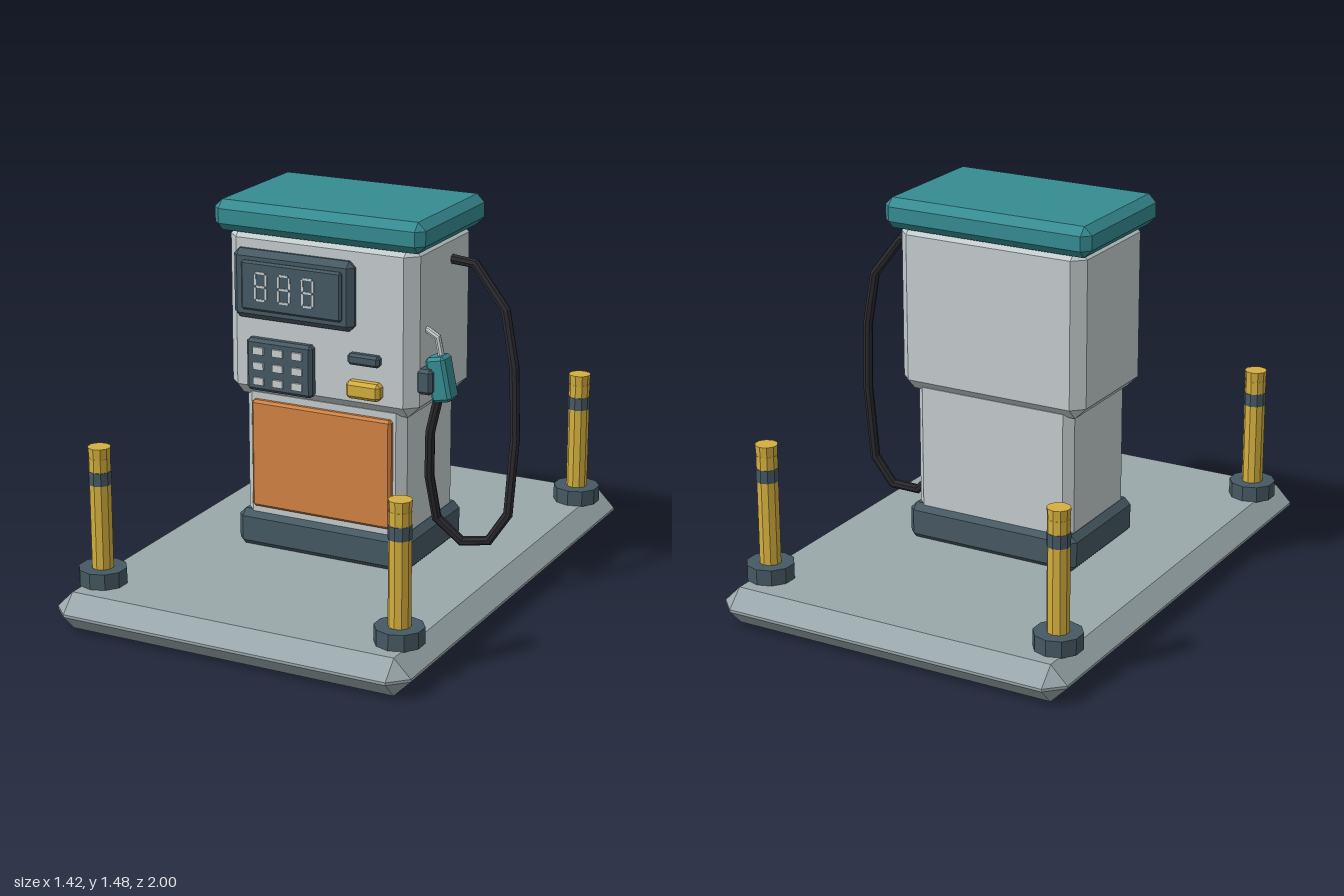
import * as THREE from 'three';
import { ConvexGeometry } from 'three/addons/geometries/ConvexGeometry.js';

const mat = (name, color) => {
  const m = new THREE.MeshStandardMaterial({ color });
  m.name = name;
  return m;
};

// Box with every edge cut at 45 degrees, given by its limits
function chamferBox(x0, x1, y0, y1, z0, z1, c) {
  const h = [(x1 - x0) / 2, (y1 - y0) / 2, (z1 - z0) / 2];
  const pts = [];
  for (const sx of [-1, 1]) for (const sy of [-1, 1]) for (const sz of [-1, 1]) {
    for (let k = 0; k < 3; k++) {
      const [x, y, z] = h.map((v, i) => (i === k ? v : v - c));
      pts.push(new THREE.Vector3(sx * x, sy * y, sz * z));
    }
  }
  const g = new ConvexGeometry(pts);
  g.translate((x0 + x1) / 2, (y0 + y1) / 2, (z0 + z1) / 2);
  return g;
}

function faceted(geometry) {
  const g = geometry.toNonIndexed();
  g.computeVertexNormals();
  return g;
}

// Tube with one ring at each path point
function pipe(points, radius, sides) {
  const curve = new THREE.CatmullRomCurve3(points.map(p => new THREE.Vector3(...p)));
  curve.getPointAt = (t, v) => curve.getPoint(t, v);
  curve.getTangentAt = (t, v) => curve.getTangent(t, v);
  return faceted(new THREE.TubeGeometry(curve, points.length - 1, radius, sides, false));
}

export function createModel() {
  const concrete = mat('concrete', 0x9aa8ab);
  const shell = mat('pale shell', 0xc5cdcf);
  const teal = mat('teal', 0x368c92);
  const slate = mat('slate', 0x465963);
  const orange = mat('orange', 0xd28243);
  const yellow = mat('yellow', 0xd4af3f);
  const rubber = mat('rubber', 0x2b2b30);
  const light = mat('light grey', 0xc9cfcf);

  const root = new THREE.Group();
  root.name = 'fuelPump';
  const add = (name, geometry, material, parent = root) => {
    const m = new THREE.Mesh(geometry, material);
    m.name = name;
    parent.add(m);
    return m;
  };
  const box = (name, material, ...limits) => add(name, chamferBox(...limits), material);

  // Island and cabinet
  box('island', concrete, -0.71, 0.71, 0, 0.14, -1, 1, 0.065);
  box('plinth', slate, -0.357, 0.357, 0.135, 0.28, -0.24, 0.24, 0.025);
  box('lowerCabinet', shell, -0.33, 0.33, 0.24, 0.78, -0.22, 0.22, 0.032);
  box('upperCabinet', shell, -0.385, 0.385, 0.735, 1.385, -0.25, 0.25, 0.045);
  box('roof', teal, -0.425, 0.425, 1.36, 1.475, -0.28, 0.28, 0.03);
  box('frontPanel', orange, -0.29, 0.287, 0.303, 0.722, 0.2, 0.243, 0.01);

  // Display, keypad, card slot and receipt tray
  box('displayFrame', slate, -0.34, 0.152, 1.045, 1.305, 0.23, 0.285, 0.022);
  box('displayScreen', slate, -0.297, 0.113, 1.083, 1.268, 0.25, 0.296, 0.008);
  box('keypad', slate, -0.287, -0.015, 0.773, 0.972, 0.23, 0.282, 0.012);
  box('cardSlot', slate, 0.127, 0.255, 0.925, 0.968, 0.23, 0.278, 0.01);
  box('receiptTray', yellow, 0.123, 0.261, 0.8, 0.866, 0.23, 0.288, 0.013);
  for (let i = 0; i < 3; i++) for (let j = 0; j < 3; j++) {
    const key = add('key', new THREE.BoxGeometry(0.042, 0.028, 0.012), light);
    key.position.set(-0.231 + i * 0.08, 0.93 - j * 0.058, 0.286);
  }

  // Seven-segment figures
  const across = new THREE.BoxGeometry(0.036, 0.008, 0.006);
  const upright = new THREE.BoxGeometry(0.008, 0.042, 0.006);
  for (const x of [-0.213, -0.117, -0.02]) {
    const digit = new THREE.Group();
    digit.name = 'displayDigit';
    digit.position.set(x, 1.177, 0.296);
    root.add(digit);
    for (const y of [-0.051, 0, 0.051]) add('segment', across, light, digit).position.y = y;
    for (const sx of [-1, 1]) for (const sy of [-1, 1]) {
      add('segment', upright, light, digit).position.set(sx * 0.022, sy * 0.026, 0);
    }
  }

  // Hose hanging from the side of the cabinet to the nozzle
  add('hose', pipe([
    [0.35, 1.272, -0.065], [0.475, 1.262, -0.065], [0.6, 1.105, -0.06],
    [0.643, 0.895, -0.05], [0.657, 0.63, -0.037], [0.643, 0.34, -0.018],
    [0.575, 0.232, 0.0], [0.475, 0.22, 0.022], [0.388, 0.31, 0.055],
    [0.38, 0.49, 0.105], [0.397, 0.67, 0.137], [0.44, 0.84, 0.147],
  ], 0.019, 8), rubber);

  // Nozzle with its holder and spout
  const nozzle = new THREE.Group();
  nozzle.name = 'nozzle';
  nozzle.position.set(0.446, 0.885, 0.15);
  nozzle.rotation.z = 0.2;
  root.add(nozzle);
  const grip = chamferBox(-0.039, 0.039, -0.084, 0.084, -0.04, 0.04, 0.012);
  add('nozzleGrip', grip, teal, nozzle);
  box('nozzleHolder', slate, 0.37, 0.434, 0.83, 0.925, 0.13, 0.213, 0.012);
  add('spout', pipe([
    [0.37, 1.062, 0.147], [0.392, 1.055, 0.147], [0.428, 1.035, 0.147], [0.448, 0.94, 0.147],
  ], 0.013, 8), light);

  // Corner bollards
  const drum = (rTop, rBottom, y0, y1) => {
    const g = faceted(new THREE.CylinderGeometry(rTop, rBottom, y1 - y0, 10));
    g.translate(0, (y0 + y1) / 2, 0);
    return g;
  };
  const parts = [
    ['bollardFoot', drum(0.09, 0.09, 0.138, 0.2), slate],
    ['bollardPost', drum(0.041, 0.041, 0.19, 0.62), yellow],
    ['bollardBand', drum(0.043, 0.043, 0.52, 0.57), slate],
    ['bollardCap', drum(0.043, 0.04, 0.62, 0.66), yellow],
  ];
  for (const x of [-0.6, 0.6]) for (const z of [-0.8, 0.8]) {
    const bollard = new THREE.Group();
    bollard.name = 'bollard';
    bollard.position.set(x, 0, z);
    for (const [name, geometry, material] of parts) add(name, geometry, material, bollard);
    root.add(bollard);
  }
  return root;
}
